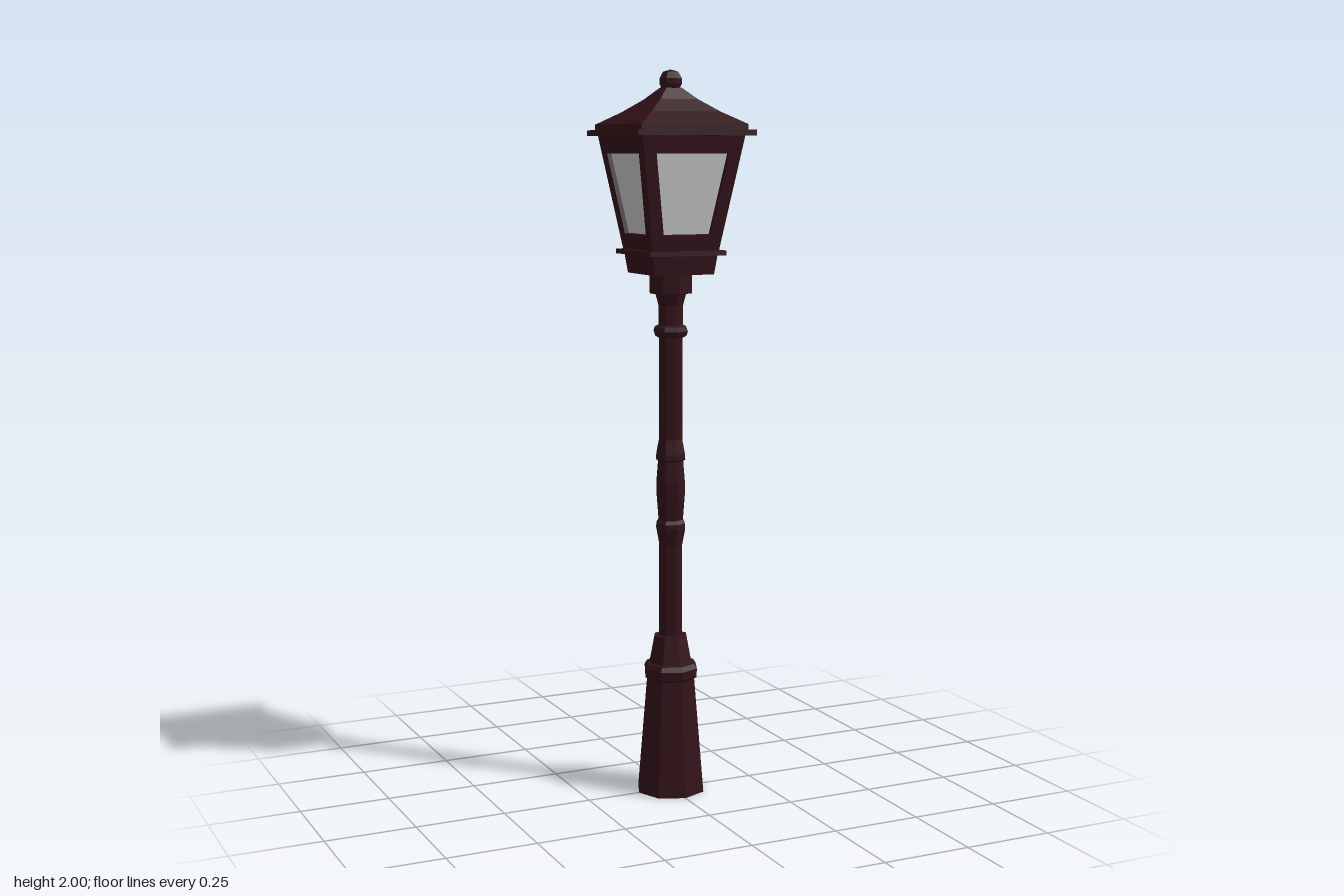
import * as THREE from 'three';

const iron = new THREE.MeshStandardMaterial({ color: 0x33131a, flatShading: true });
const glass = new THREE.MeshStandardMaterial({ color: 0xcccccc, side: THREE.DoubleSide });

// Faceted turned part from [radius, y] pairs, bottom to top
function turned(name, profile, sides = 8) {
  const pts = profile.map(([r, y]) => new THREE.Vector2(r, y));
  const mesh = new THREE.Mesh(new THREE.LatheGeometry(pts, sides), iron);
  mesh.name = name;
  return mesh;
}

// Square part from [half width, y] pairs, with sides facing the axes
function square(name, profile) {
  const mesh = turned(name, profile.map(([h, y]) => [h * Math.SQRT2, y]), 4);
  mesh.rotation.y = Math.PI / 4;
  return mesh;
}

const trapezoid = (Kind, low, high, y0, y1) => new Kind([
  new THREE.Vector2(-low, y0), new THREE.Vector2(low, y0),
  new THREE.Vector2(high, y1), new THREE.Vector2(-high, y1),
]);

// One sloping lantern side: mitred frame with an inset pane
function lanternSide(index) {
  const y0 = 1.515, y1 = 1.83, low = 0.097, high = 0.15, depth = 0.018;
  const slant = Math.hypot(y1 - y0, high - low);
  const k = slant / (y1 - y0);
  const sill = (1.562 - y0) * k, head = (1.778 - y0) * k;

  const shape = trapezoid(THREE.Shape, low, high, 0, slant);
  shape.holes.push(trapezoid(THREE.Path, 0.069, 0.106, sill, head));
  const geo = new THREE.ExtrudeGeometry(shape, { depth, bevelEnabled: false });
  geo.translate(0, 0, -depth);
  const p = geo.attributes.position;
  for (let i = 0; i < p.count; i++) {
    const edge = low + (high - low) * p.getY(i) / slant;
    const x = p.getX(i);
    if (p.getZ(i) < -depth / 2 && Math.abs(x) > edge - 0.005) p.setX(i, x - Math.sign(x) * depth);
  }
  const frame = new THREE.Mesh(geo, iron);
  frame.name = 'windowFrame';

  const pane = new THREE.Mesh(
    new THREE.ShapeGeometry(trapezoid(THREE.Shape, 0.072, 0.109, sill - 0.005, head + 0.005)), glass);
  pane.position.z = -0.012;
  pane.name = 'windowPane';

  const panel = new THREE.Group();
  panel.add(frame, pane);
  panel.position.set(0, y0, low);
  panel.rotation.x = Math.atan2(high - low, y1 - y0);

  const side = new THREE.Group();
  side.name = 'lanternSide';
  side.add(panel);
  side.rotation.y = index * Math.PI / 2;
  return side;
}

export function createModel() {
  const lamp = new THREE.Group();
  lamp.name = 'streetLamp';

  // Tapered foot with its collar
  lamp.add(turned('base', [
    [0, 0], [0.098, 0], [0.07, 0.325], [0.077, 0.332], [0.078, 0.355],
    [0.07, 0.368], [0.062, 0.37], [0.047, 0.447], [0, 0.447],
  ]));

  // Shaft with a baluster swelling and a ring under the head
  lamp.add(turned('shaft', [
    [0.034, 0.44], [0.034, 0.705], [0.043, 0.75], [0.042, 0.765], [0.036, 0.775],
    [0.042, 0.85], [0.042, 0.88], [0.037, 0.94], [0.043, 0.945], [0.042, 0.96], [0.034, 1.0],
    [0.034, 1.28], [0.046, 1.287], [0.05, 1.298], [0.046, 1.31], [0.036, 1.315],
    [0.036, 1.37], [0.046, 1.405],
  ]));
  lamp.add(turned('neck', [[0, 1.402], [0.061, 1.402], [0.061, 1.46], [0, 1.46]]));

  // Square lantern: tray, four glazed sides, eaves and concave roof
  const lantern = new THREE.Group();
  lantern.name = 'lantern';
  lantern.add(square('lanternTray', [
    [0, 1.455], [0.088, 1.455], [0.095, 1.507], [0.113, 1.507], [0.113, 1.52], [0, 1.52],
  ]));
  for (let i = 0; i < 4; i++) lantern.add(lanternSide(i));
  lantern.add(square('roof', [
    [0, 1.825], [0.172, 1.825], [0.172, 1.84], [0.155, 1.84], [0.155, 1.855],
    [0.1, 1.888], [0.055, 1.921], [0.022, 1.952], [0, 1.956],
  ]));
  lamp.add(lantern);

  // Finial ball
  lamp.add(turned('finial', [
    [0, 1.938], [0.022, 1.944], [0.032, 1.962], [0.032, 1.976], [0.022, 1.994], [0, 2],
  ]));
  return lamp;
}
